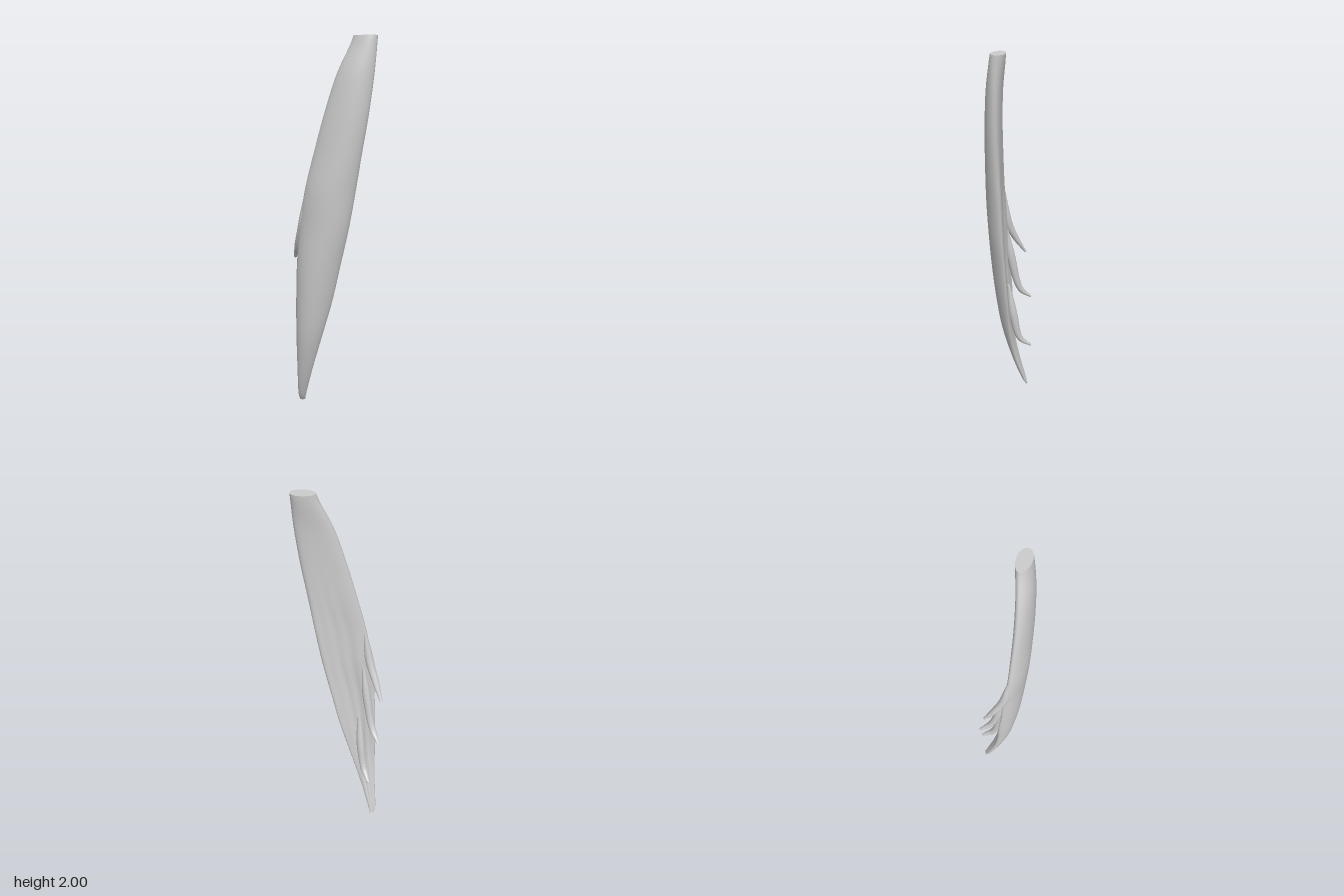
import * as THREE from 'three';

const material = new THREE.MeshStandardMaterial({ color: 0xcccccc });

// Skin a list of closed rings (ordered top to bottom) and cap both ends.
function loft(rings) {
  const n = rings[0].length, pos = [], idx = [];
  rings.forEach(r => r.forEach(p => pos.push(p.x, p.y, p.z)));
  for (let i = 0; i < rings.length - 1; i++) {
    for (let j = 0; j < n; j++) {
      const a = i * n + j, b = i * n + (j + 1) % n;
      idx.push(a, b, a + n, b, b + n, a + n);
    }
  }
  [[rings[0], true], [rings[rings.length - 1], false]].forEach(([ring, top]) => {
    const base = pos.length / 3, c = new THREE.Vector3();
    ring.forEach(p => { pos.push(p.x, p.y, p.z); c.addScaledVector(p, 1 / n); });
    pos.push(c.x, c.y, c.z);
    for (let j = 0; j < n; j++) {
      const a = base + j, b = base + (j + 1) % n;
      idx.push(base + n, top ? b : a, top ? a : b);
    }
  });
  const g = new THREE.BufferGeometry();
  g.setAttribute('position', new THREE.Float32BufferAttribute(pos, 3));
  g.setIndex(idx);
  g.computeVertexNormals();
  return g;
}

// Catmull-Rom blend of whole table rows, t in 0..1.
function blendRows(rows, t) {
  const f = t * (rows.length - 1), i = Math.min(Math.floor(f), rows.length - 2), u = f - i;
  const row = k => rows[Math.max(0, Math.min(rows.length - 1, k))];
  const [a, b, c, d] = [row(i - 1), row(i), row(i + 1), row(i + 2)];
  return b.map((v, k) => v + 0.5 * u * (c[k] - a[k]
    + u * (2 * a[k] - 5 * v + 4 * c[k] - d[k] + u * (3 * (v - c[k]) + d[k] - a[k]))));
}

// Bowed strap sections: y, inner edge x z, middle x z, outer edge x z, half thickness.
const SECTIONS = [
  [2.00, 0.207, 0.110, 0.155, 0.090, 0.090, 0.062, 0.037],
  [1.95, 0.204, 0.110, 0.145, 0.094, 0.072, 0.062, 0.039],
  [1.80, 0.190, 0.110, 0.100, 0.102, 0.003, 0.058, 0.041],
  [1.60, 0.163, 0.105, 0.060, 0.102, -0.060, 0.048, 0.042],
  [1.40, 0.130, 0.090, 0.020, 0.096, -0.112, 0.032, 0.042],
  [1.20, 0.100, 0.075, -0.030, 0.086, -0.158, 0.013, 0.041],
  [1.00, 0.066, 0.060, -0.060, 0.072, -0.185, -0.010, 0.039],
  [0.80, 0.025, 0.040, -0.100, 0.054, -0.198, -0.022, 0.036],
  [0.60, -0.017, 0.020, -0.130, 0.030, -0.200, -0.038, 0.033],
  [0.40, -0.070, -0.005, -0.150, 0.000, -0.200, -0.045, 0.028],
  [0.20, -0.120, -0.045, -0.165, -0.050, -0.199, -0.068, 0.020],
  [0.05, -0.150, -0.098, -0.172, -0.098, -0.195, -0.105, 0.013],
  [0.00, -0.157, -0.119, -0.170, -0.118, -0.184, -0.120, 0.006],
];

function strapGeometry() {
  const rings = [], steps = 72, sides = 40;
  for (let i = 0; i <= steps; i++) {
    const [y, rx, rz, mx, mz, lx, lz, h] = blendRows(SECTIONS, i / steps);
    // shallow fibre grooves on the back, deepest in the lower half
    const groove = 0.12 * THREE.MathUtils.smoothstep(2 - y, 0.3, 1.2);
    const ring = [];
    for (let j = 0; j < sides; j++) {
      const a = j / sides * Math.PI * 2, s = Math.cos(a), w = Math.sin(a);
      const along = (r, m, l) => m + s * (r - l) / 2 + s * s * ((r + l) / 2 - m);
      const slope = (r, m, l) => (r - l) / 2 + 2 * s * ((r + l) / 2 - m);
      const dx = slope(rx, mx, lx), dz = slope(rz, mz, lz), len = Math.hypot(dx, dz) || 1;
      const off = h * w * (w < 0 ? 1 + groove * Math.sin(s * 11 + y * 2) : 1);
      ring.push(new THREE.Vector3(along(rx, mx, lx) - dz / len * off, y,
        along(rz, mz, lz) + dx / len * off));
    }
    rings.push(ring);
  }
  return loft(rings);
}

// Tapered finger following a path; radii are [across, thick] from root to tip.
function slipGeometry(path, radii) {
  const curve = new THREE.CatmullRomCurve3(path.map(p => new THREE.Vector3(...p)));
  const X = new THREE.Vector3(1, 0, 0), rings = [], steps = 24, sides = 16;
  for (let i = 0; i <= steps; i++) {
    const t = i / steps, c = curve.getPoint(t), tan = curve.getTangent(t);
    const n = new THREE.Vector3().crossVectors(tan, X).normalize();
    const side = new THREE.Vector3().crossVectors(n, tan).normalize();
    const [across, thick] = blendRows(radii, t);
    rings.push(Array.from({ length: sides }, (_, j) => {
      const a = j / sides * Math.PI * 2;
      return c.clone().addScaledVector(side, across * Math.cos(a)).addScaledVector(n, thick * Math.sin(a));
    }));
  }
  return loft(rings);
}

export function createModel() {
  const model = new THREE.Group();
  model.name = 'muscle';
  const add = (name, geometry) => {
    const mesh = new THREE.Mesh(geometry, material);
    mesh.name = name;
    model.add(mesh);
  };

  add('muscleBelly', strapGeometry());

  // Pointed slips peeling off the back edge
  const radii = [[0.008, 0.008], [0.022, 0.022], [0.021, 0.02], [0.017, 0.014], [0.008, 0.006]];
  add('upperSlip', slipGeometry(
    [[-0.150, 1.20, 0.015], [-0.172, 1.02, -0.008], [-0.192, 0.91, -0.058], [-0.206, 0.82, -0.114]], radii));
  add('middleSlip', slipGeometry(
    [[-0.140, 0.98, 0.000], [-0.155, 0.78, -0.032], [-0.172, 0.61, -0.080], [-0.186, 0.55, -0.142]], radii));
  add('lowerSlip', slipGeometry(
    [[-0.120, 0.66, -0.005], [-0.122, 0.46, -0.035], [-0.130, 0.32, -0.072], [-0.137, 0.265, -0.136]], radii));

  return model;
}
